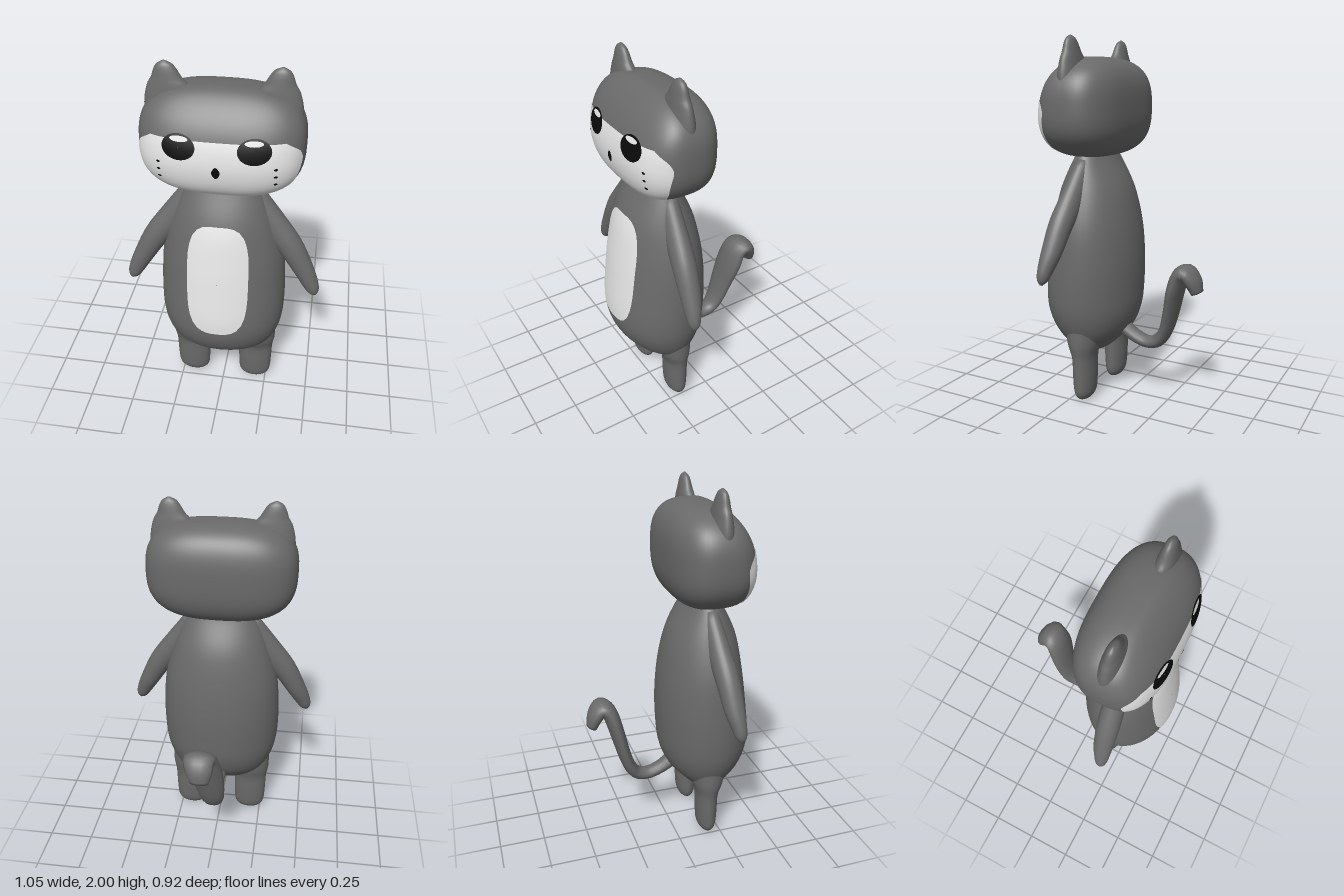
import * as THREE from 'three';
import { mergeVertices } from 'three/addons/utils/BufferGeometryUtils.js';

const V = (x, y, z) => new THREE.Vector3(x, y, z);

// Smooth curves through rows of [x, y, z, halfWidth, halfDepth]
function curves(rows) {
  return [
    new THREE.CatmullRomCurve3(rows.map(r => V(r[0], r[1], r[2])), false, 'catmullrom', 0.5),
    new THREE.CatmullRomCurve3(rows.map(r => V(r[3], r[4], 0)), false, 'catmullrom', 0.5),
  ];
}

// Closed loft of ellipses; upright keeps every ring level
function loft(rows, { steps = 32, sides = 28, across = V(1, 0, 0), upright = true } = {}) {
  const [path, size] = curves(rows);
  const pos = [], idx = [];
  for (let i = 0; i <= steps; i++) {
    const t = i / steps, c = path.getPoint(t), s = size.getPoint(t);
    const dir = upright ? V(0, 1, 0) : path.getTangent(t);
    const v = dir.clone().cross(across).normalize();
    for (let j = 0; j < sides; j++) {
      const a = (j / sides) * Math.PI * 2;
      const p = c.clone().addScaledVector(across, s.x * Math.cos(a)).addScaledVector(v, s.y * Math.sin(a));
      pos.push(p.x, p.y, p.z);
    }
  }
  for (let i = 0; i < steps; i++) {
    for (let j = 0; j < sides; j++) {
      const k = (j + 1) % sides, a = i * sides + j, b = i * sides + k;
      idx.push(a, b, b + sides, a, b + sides, a + sides);
    }
  }
  // end caps
  const n = pos.length / 3, first = path.getPoint(0), last = path.getPoint(1), top = steps * sides;
  pos.push(first.x, first.y, first.z, last.x, last.y, last.z);
  for (let j = 0; j < sides; j++) {
    const k = (j + 1) % sides;
    idx.push(n, k, j, n + 1, top + j, top + k);
  }
  const g = new THREE.BufferGeometry();
  g.setAttribute('position', new THREE.Float32BufferAttribute(pos, 3));
  g.setIndex(idx);
  g.computeVertexNormals();
  return g;
}

// Move every vertex of a geometry by a rule
function warp(geo, rule) {
  const g = geo.clone();
  g.deleteAttribute('uv');
  g.deleteAttribute('normal');
  const m = mergeVertices(g, 1e-5), p = m.attributes.position;
  for (let i = 0; i < p.count; i++) {
    const q = rule(p.getX(i), p.getY(i), p.getZ(i));
    p.setXYZ(i, q.x, q.y, q.z);
  }
  m.computeVertexNormals();
  return m;
}

// Head: rounded box whose forehead slopes back
const HEAD = { y: 1.635, z: 0.19, a: 0.402, b: 0.267, c: 0.228, n: 2.8 };
const forehead = y => 1 - 4 * Math.max(0, y - 1.55) ** 2;
function headVertex(x, y, z) {
  const { a, b, c, n } = HEAD;
  const d = V(x, y, z).normalize();
  const r = (Math.abs(d.x / a) ** n + Math.abs(d.y / b) ** n + Math.abs(d.z / c) ** n) ** (-1 / n);
  d.multiplyScalar(r);
  d.y += HEAD.y;
  if (d.z > 0) d.z *= forehead(d.y);
  d.z += HEAD.z;
  return d;
}
// Point on the front of the head, lifted by a scale about its centre
function onHead(x, y, lift) {
  const { a, b, c, n } = HEAD;
  const f = 1 - Math.abs(x / a) ** n - Math.abs((y - HEAD.y) / b) ** n;
  const z = c * Math.max(0, f) ** (1 / n) * forehead(y);
  return V(x * lift, HEAD.y + (y - HEAD.y) * lift, HEAD.z + z * lift);
}

// Torso rows from [y, halfWidth, front z, back z]
const torsoRows = [
  [0.255, 0.05, 0.20, 0.16], [0.28, 0.16, 0.24, 0.11], [0.33, 0.24, 0.32, 0.06], [0.40, 0.287, 0.40, 0.0],
  [0.50, 0.323, 0.45, -0.037], [0.62, 0.338, 0.462, -0.05], [0.80, 0.337, 0.442, -0.053],
  [1.0, 0.318, 0.413, -0.035], [1.2, 0.262, 0.372, 0.01], [1.37, 0.19, 0.29, 0.095], [1.45, 0.12, 0.25, 0.12],
].map(([y, w, f, b]) => [0, y, (f + b) / 2, w, (f - b) / 2]);
const [torsoPath, torsoSize] = curves(torsoRows);
function onTorso(x, y) {
  let lo = 0, hi = 1;
  for (let i = 0; i < 30; i++) {
    const m = (lo + hi) / 2;
    if (torsoPath.getPoint(m).y < y) lo = m; else hi = m;
  }
  const s = torsoSize.getPoint(lo);
  return V(x, y, torsoPath.getPoint(lo).z + s.y * Math.sqrt(Math.max(0, 1 - (x / s.x) ** 2)) + 0.005);
}

// Thin rounded patch laid on a surface
const disc = new THREE.RingGeometry(0.01, 1, 40, 8);
function patch(cx, cy, hw, hh, n, surface) {
  return warp(disc, (x, y) => {
    const r = Math.hypot(x, y), c = x / r, s = y / r;
    const k = r * (Math.abs(c) ** n + Math.abs(s) ** n) ** (-1 / n);
    return surface(cx + hw * k * c, cy + hh * k * s);
  });
}

export function createModel() {
  const model = new THREE.Group();
  const mat = (name, color) => new THREE.MeshStandardMaterial({ name, color });
  const fur = mat('greyFur', 0x6a6a6a);
  const pale = mat('paleFur', 0xe8e8e8);
  const black = mat('black', 0x0a0a0a);
  const add = (name, geo, material) => {
    const m = new THREE.Mesh(geo, material);
    m.name = name;
    model.add(m);
  };

  add('torso', loft(torsoRows, { steps: 60, sides: 48 }), fur);
  add('bellyPatch', patch(0, 0.9, 0.16, 0.32, 3.4, onTorso), pale);
  add('head', warp(new THREE.BoxGeometry(1, 1, 1, 32, 32, 32), headVertex), fur);

  // Pale lower face: a grid whose width follows the height
  const faceWidth = new THREE.SplineCurve([
    [1.385, 0.17], [1.42, 0.28], [1.47, 0.338], [1.53, 0.368], [1.6, 0.384], [1.64, 0.38], [1.67, 0.362], [1.708, 0.31],
  ].map(p => new THREE.Vector2(...p)));
  add('faceMask', warp(new THREE.PlaneGeometry(2, 1, 48, 28), (x, y) => {
    const p = faceWidth.getPoint(y + 0.5);
    return onHead(x * p.y, p.x, 1.01);
  }), pale);
  add('nose', patch(0, 1.565, 0.02, 0.03, 1.5, (x, y) => onHead(x, y, 1.02)), black);

  for (const s of [1, -1]) {
    const side = s > 0 ? 'left' : 'right';
    add(side + 'Eye', patch(s * 0.172, 1.675, 0.077, 0.06, 2, (x, y) => onHead(x, y, 1.02)), black);
    add(side + 'EyeShine', patch(s * 0.168, 1.712, 0.042, 0.013, 2, (x, y) => onHead(x, y, 1.03)), pale);
    for (const y of [1.59, 1.55, 1.507]) {
      add(side + 'WhiskerDot', patch(s * 0.27, y, 0.009, 0.006, 2, (px, py) => onHead(px, py, 1.018)), black);
    }
    add(side + 'Ear', loft([
      [s * 0.25, 1.70, 0.19, 0.125, 0.07], [s * 0.264, 1.80, 0.19, 0.112, 0.055], [s * 0.258, 1.88, 0.19, 0.1, 0.043],
      [s * 0.263, 1.92, 0.19, 0.073, 0.036], [s * 0.268, 1.96, 0.19, 0.054, 0.028],
      [s * 0.27, 1.985, 0.19, 0.036, 0.019], [s * 0.272, 2.0, 0.19, 0.008, 0.005],
    ]), fur);
    add(side + 'Arm', loft([
      [s * 0.14, 1.325, 0.19, 0.05, 0.07], [s * 0.265, 1.15, 0.205, 0.06, 0.075], [s * 0.355, 1.035, 0.217, 0.062, 0.067],
      [s * 0.432, 0.9, 0.228, 0.054, 0.054], [s * 0.475, 0.815, 0.24, 0.04, 0.043],
      [s * 0.495, 0.768, 0.245, 0.028, 0.03], [s * 0.504, 0.742, 0.248, 0.006, 0.007],
    ], { across: V(0, 0, 1), upright: false }), fur);
    add(side + 'Leg', loft([
      [s * 0.183, 0.003, 0.18, 0.03, 0.015], [s * 0.183, 0.02, 0.18, 0.068, 0.036], [s * 0.184, 0.06, 0.18, 0.09, 0.052],
      [s * 0.185, 0.15, 0.18, 0.096, 0.059], [s * 0.186, 0.26, 0.18, 0.099, 0.063],
      [s * 0.186, 0.34, 0.185, 0.111, 0.085], [s * 0.186, 0.44, 0.19, 0.11, 0.1],
    ]), fur);
  }

  // Tail: dips, rises and hooks over at the end
  add('tail', loft([
    [0, 0.40, 0.03, 0.05, 0.04], [0, 0.355, -0.04, 0.046, 0.036], [0, 0.33, -0.12, 0.046, 0.034],
    [0, 0.35, -0.19, 0.056, 0.035], [0, 0.42, -0.235, 0.07, 0.036], [0.01, 0.53, -0.268, 0.085, 0.038],
    [0.03, 0.66, -0.30, 0.098, 0.042], [0.04, 0.75, -0.33, 0.09, 0.044], [0.05, 0.777, -0.37, 0.085, 0.044],
    [0.045, 0.73, -0.408, 0.074, 0.042], [0.04, 0.67, -0.43, 0.05, 0.03],
  ], { steps: 44, sides: 14, upright: false }), fur);

  return model;
}
